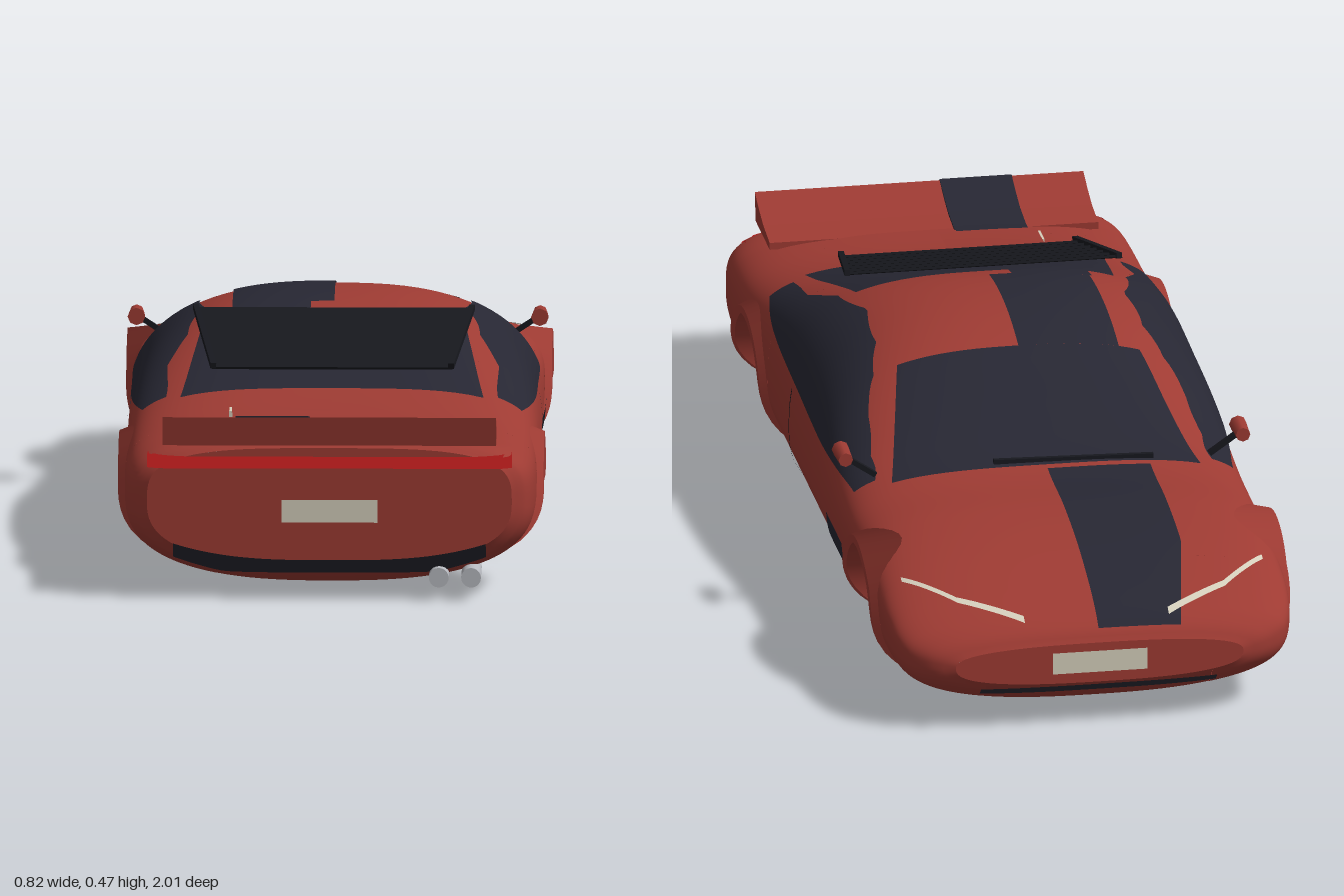
import * as THREE from 'three';

const V = (x, y, z) => new THREE.Vector3(x, y, z);
const material = (name, color) => new THREE.MeshStandardMaterial({ name, color, side: THREE.DoubleSide });
const lerp = THREE.MathUtils.lerp;

// Body stations: z, half width, bottom, widest height, top, upper roundness
const ST = [
  [-1, .28, .09, .135, .17, 2.6], [-.985, .325, .07, .14, .192, 2.7], [-.95, .37, .045, .15, .215, 2.9],
  [-.88, .39, .024, .17, .243, 3.2], [-.75, .395, .014, .185, .277, 3.5], [-.6, .395, .009, .19, .297, 3.5],
  [-.45, .395, .005, .19, .302, 3.3], [-.35, .395, .003, .19, .322, 3], [-.25, .395, .002, .19, .365, 2.8],
  [-.12, .395, .002, .19, .427, 2.7], [0, .395, .002, .19, .458, 2.6], [.13, .395, .002, .19, .465, 2.6],
  [.25, .395, .002, .19, .45, 2.8], [.4, .395, .003, .19, .405, 3.2], [.55, .395, .006, .19, .36, 3.4],
  [.7, .395, .01, .19, .328, 3.5], [.85, .394, .018, .19, .315, 3.6], [.93, .388, .03, .19, .312, 3.6],
  [.965, .375, .045, .19, .305, 3.5], [.985, .35, .065, .19, .295, 3.4],
];
const Z0 = -1, Z1 = .985, LOW = 2.6, FLOOR = .22, WHEELS = [-.63, .605], HUB = .08, CUT = .178;

// Smooth interpolation of the stations
function station(z) {
  let i = 0;
  while (i < ST.length - 2 && z > ST[i + 1][0]) i++;
  const a = ST[i], b = ST[i + 1], p = ST[Math.max(i - 1, 0)], q = ST[Math.min(i + 2, ST.length - 1)];
  const d = b[0] - a[0], t = (z - a[0]) / d, t2 = t * t, t3 = t2 * t;
  const val = k => {
    const ma = (b[k] - p[k]) / (b[0] - p[0]) * d, mb = (q[k] - a[k]) / (q[0] - a[0]) * d;
    return (2 * t3 - 3 * t2 + 1) * a[k] + (t3 - 2 * t2 + t) * ma + (3 * t2 - 2 * t3) * b[k] + (t3 - t2) * mb;
  };
  return { w: val(1), yb: val(2), ym: val(3), yt: val(4), n: val(5) };
}
function half(s, upper) { return upper ? [s.yt - s.ym, s.n] : [s.ym - s.yb, LOW]; }
function skin(z, a, side) {
  const s = station(z), [h, n] = half(s, a >= 0);
  const x = s.w * Math.max(Math.cos(a), 0) ** (2 / n), y = s.ym + Math.sign(a) * h * Math.abs(Math.sin(a)) ** (2 / n);
  return V(side * x, y, z);
}
function angleOfY(z, y) {
  const s = station(z), [h, n] = half(s, y >= s.ym);
  return Math.sign(y - s.ym) * Math.asin(Math.min(1, Math.abs(y - s.ym) / h) ** (n / 2));
}
const angleOfFloor = z => -Math.acos(Math.min(1, FLOOR / station(z).w) ** (LOW / 2));
const xAt = (z, y) => skin(z, angleOfY(z, y), 1).x;
function yAt(z, x) {
  const s = station(z);
  return s.ym + (s.yt - s.ym) * Math.max(0, 1 - (Math.abs(x) / s.w) ** s.n) ** (1 / s.n);
}
function field(x, y, z) {
  const s = station(z), [h, n] = half(s, y >= s.ym);
  return (Math.abs(x) / s.w) ** n + (Math.abs(y - s.ym) / h) ** n;
}
function zAt(x, y, end) {
  if (field(x, y, end) <= 1) return end;
  let a = end * .8, b = end;
  for (let i = 0; i < 24; i++) { const m = (a + b) / 2; if (field(x, y, m) <= 1) a = m; else b = m; }
  return a;
}
function bodyNormal(p) {
  const e = .0008, g = (dx, dy, dz) => field(p.x + dx, p.y + dy, p.z + dz) - field(p.x - dx, p.y - dy, p.z - dz);
  const zc = THREE.MathUtils.clamp(p.z, Z0 + e, Z1 - e);
  const dz = field(p.x, p.y, zc + e) - field(p.x, p.y, zc - e);
  return V(g(e, 0, 0), g(0, e, 0), dz).normalize();
}

// Sheet of quads from f(u, v), wound to agree with its normals
function sheet(f, nu, nv, normal = bodyNormal, lift = 0) {
  const pos = [], nor = [], idx = [], P = [], N = [];
  for (let i = 0; i <= nu; i++) for (let j = 0; j <= nv; j++) {
    const p = f(i / nu, j / nv), n = normal(p);
    p.addScaledVector(n, lift);
    P.push(p); N.push(n); pos.push(p.x, p.y, p.z); nor.push(n.x, n.y, n.z);
  }
  const tri = (a, b, c) => {
    const n = P[b].clone().sub(P[a]).cross(P[c].clone().sub(P[a]));
    const m = N[a].clone().add(N[b]).add(N[c]);
    if (n.dot(m) >= 0) idx.push(a, b, c); else idx.push(a, c, b);
  };
  for (let i = 0; i < nu; i++) for (let j = 0; j < nv; j++) {
    const a = i * (nv + 1) + j, b = a + nv + 1;
    tri(a, b, b + 1); tri(a, b + 1, a + 1);
  }
  const g = new THREE.BufferGeometry();
  g.setAttribute('position', new THREE.Float32BufferAttribute(pos, 3));
  g.setAttribute('normal', new THREE.Float32BufferAttribute(nor, 3));
  g.setIndex(idx);
  return g;
}

export function createModel() {
  const car = new THREE.Group();
  car.name = 'sportsCar';
  const red = material('bodyRed', 0x9e3b33), navy = material('darkNavy', 0x272733), black = material('trimBlack', 0x17181e);
  const lamp = material('tailLampRed', 0xe02424), cream = material('plateCream', 0xd6d0bd), silver = material('exhaustSilver', 0xb8bac0);
  const add = (name, geo, mat) => { const m = new THREE.Mesh(geo, mat); m.name = name; car.add(m); return m; };
  const bar = (name, a, b, t, mat) => {
    const m = add(name, new THREE.BoxGeometry(t, t, a.distanceTo(b)), mat);
    m.position.copy(a).add(b).multiplyScalar(.5);
    m.lookAt(b);
  };
  const topPatch = (name, mat, z0, z1, lo, hi, lift = .004) => add(name, sheet((u, v) => {
    const z = lerp(z0, z1, u), x = lerp(lo(u), hi(u), v);
    return V(x, yAt(z, x), z);
  }, 28, 22, bodyNormal, lift), mat);
  const sidePatch = (name, mat, side, z0, z1, lo, hi, nz = 4) => add(name, sheet((u, v) => {
    const z = lerp(z0, z1, u), y = lerp(lo(z), hi(z), v);
    return V(side * xAt(z, y), y, z);
  }, nz, 12, bodyNormal, .004), mat);
  const endBand = (name, mat, end, w, lo, hi) => add(name, sheet((u, v) => {
    const x = lerp(-w, w, u), y = lerp(lo(x), hi(x), v);
    return V(x, y, zAt(x, y, end));
  }, 32, 4, () => V(0, 0, Math.sign(end)), .005), mat);

  // Body shell, open at the wheel arches
  const [f, r] = WHEELS;
  const spans = [[Z0, f - CUT], [f - CUT, f + CUT, f], [f + CUT, r - CUT], [r - CUT, r + CUT, r], [r + CUT, Z1]];
  for (const side of [-1, 1]) {
    for (const [a, b, hub] of spans) add('bodySide', sheet((u, v) => {
      const z = hub === undefined ? lerp(a, b, u) : hub - CUT * Math.cos(Math.PI * u);
      const start = hub === undefined ? angleOfFloor(z) : angleOfY(z, HUB + Math.sqrt(Math.max(0, CUT ** 2 - (z - hub) ** 2)));
      return skin(z, lerp(start, Math.PI / 2, v), side);
    }, 28, 44), red);
    add('floor', sheet((u, v) => { const z = lerp(Z0, Z1, u); return skin(z, lerp(-Math.PI / 2, angleOfFloor(z), v), side); }, 60, 8), red);
    for (const z of [Z0, Z1]) add('endCap', sheet((u, v) => {
      const p = skin(z, lerp(-Math.PI / 2, Math.PI / 2, v), side), ym = station(z).ym;
      return V(p.x * u, lerp(ym, p.y, u), z);
    }, 1, 44, () => V(0, 0, Math.sign(z))), red);

    // Arch flares: outer edge on the body, raised rim, inner lip
    for (const hub of WHEELS) {
      const profile = [[.195, 0], [.186, .013], [.172, .014], [.17, .008], [.17, -.04]];
      for (let k = 0; k < 4; k++) add('archFlare', sheet((u, v) => {
        const [ra, oa] = profile[k], [rb, ob] = profile[k + 1];
        const rad = lerp(ra, rb, v), t = lerp(-.42, Math.PI + .42, u), z = hub + rad * Math.cos(t);
        const y = Math.max(HUB + rad * Math.sin(t), station(z).yb + .004);
        const base = lerp(k === 0 ? xAt(z, y) : xAt(z, Math.min(y, .21)), xAt(z, Math.min(y, .21)), v);
        return V(side * (base + lerp(oa, ob, v)), y, z);
      }, 36, 1, p => {
        const out = V(0, p.y - HUB, p.z - hub).normalize();
        return k === 3 ? out.negate() : V(side, 0, 0).addScaledVector(out, k === 0 ? .8 : 0).normalize();
      }), red);
    }

    // Side glass, door seam and side vent
    const roofLine = [[-.38, .285], [-.3, .305], [-.2, .345], [-.1, .392], [0, .42], [.15, .43], [.3, .402], [.42, .36], [.58, .325]];
    const glassTop = z => {
      let i = 0;
      while (i < roofLine.length - 2 && z > roofLine[i + 1][0]) i++;
      const [a, b] = [roofLine[i], roofLine[i + 1]];
      return lerp(a[1], b[1], (z - a[0]) / (b[0] - a[0]));
    };
    sidePatch('sideWindow', navy, side, -.38, .58, z => lerp(.264, .3, (z + .38) / .96), glassTop, 48);
    sidePatch('doorSeam', black, side, .168, .173, () => .065, () => .27);
    sidePatch('sideVent', navy, side, -.41, -.24, () => .125, () => .175);

    // Mirror
    const mirror = add('mirror', new THREE.CylinderGeometry(.017, .014, .06, 8), red);
    mirror.rotation.x = Math.PI / 2;
    mirror.position.set(side * .387, .338, -.36);
    bar('mirrorArm', V(side * .325, .295, -.365), V(side * .385, .335, -.362), .01, black);

    // Slim headlight lines
    const line = [[.14, -.96], [.26, -.895], [.35, -.8]].map(([x, z]) => [side * x, z]);
    for (let k = 0; k < 2; k++) add('headlight', sheet((u, v) => {
      const x = lerp(line[k][0], line[k + 1][0], u), z = lerp(line[k][1], line[k + 1][1], u) + (v - .5) * .015;
      return V(x, yAt(z, x), z);
    }, 10, 1, bodyNormal, .005), cream);
  }

  // Windscreen, rear window and stripes
  topPatch('windscreen', navy, -.41, -.1, u => -lerp(.3, .235, u), u => lerp(.3, .235, u));
  topPatch('rearWindow', navy, .27, .605, u => -lerp(.25, .29, u), u => lerp(.25, .29, u));
  topPatch('hoodStripe', navy, -.985, -.425, u => -lerp(.16, .2, Math.min(1, u * 2.5)), () => 0);
  topPatch('roofStripe', navy, -.1, .225, () => -.195, () => 0);
  topPatch('roofStripeEnd', navy, .225, .27, () => -.2, () => -.045);
  topPatch('deckStripe', navy, .78, .86, () => -.18, () => -.04);
  bar('wiper', V(-.21, yAt(-.4, .2) + .008, -.4), V(.1, yAt(-.395, .1) + .008, -.395), .009, black);

  // Raised engine scoop
  add('engineScoop', sheet((u, v) => {
    const z = lerp(.605, .78, u), x = lerp(-.19, 0, v);
    return V(x, yAt(z, x) + lerp(.004, .014, u), z);
  }, 6, 6), red);
  const tab = add('scoopEdge', new THREE.BoxGeometry(.006, .012, .045), cream);
  tab.position.set(-.192, yAt(.74, .19) + .005, .74);

  // Rear window louvres
  const slatCount = 7, rail = t => V(lerp(.265, .228, t), lerp(.457, .387, t), lerp(.285, .565, t));
  for (const side of [-1, 1]) bar('louvreRail', rail(0).multiply(V(side, 1, 1)), rail(1).multiply(V(side, 1, 1)), .011, black);
  for (let i = 0; i < slatCount; i++) {
    const p = rail((i + .5) / slatCount), slat = add('louvreSlat', new THREE.BoxGeometry(2 * p.x, .005, .032), black);
    slat.position.set(0, p.y - .004, p.z);
    slat.rotation.x = .42;
  }

  // Tail spoiler with its stripe
  const extrudeX = (pts, x0, x1) => new THREE.ExtrudeGeometry(new THREE.Shape(pts.map(([z, y]) => new THREE.Vector2(-z, y))),
    { depth: x1 - x0, bevelEnabled: false }).rotateY(Math.PI / 2).translate(x0, 0, 0);
  add('spoiler', extrudeX([[.83, .3], [.83, .314], [.9, .323], [.95, .338], [.995, .356], [.985, .3]], -.32, .32), red);
  add('spoilerStripe', extrudeX([[.83, .314], [.83, .318], [.9, .327], [.95, .342], [.994, .359], [.994, .355], [.95, .338], [.9, .323]], -.18, -.04), navy);

  // Tail lamp, plates and bumper grilles
  endBand('tailLamp', lamp, Z1, .35, () => .256, () => .279);
  endBand('rearPlate', cream, Z1, .092, () => .151, () => .195);
  endBand('rearGrille', black, Z1, .3, x => .052 + .45 * Math.max(0, Math.abs(x) - .2) ** 1.2, x => .078 + .032 * (Math.abs(x) / .3) ** 3);
  endBand('frontPlate', cream, Z0, .092, () => .112, () => .155);
  endBand('frontGrille', black, Z0, .23, () => .072, () => .086);

  // Twin exhaust
  for (const x of [.21, .272]) {
    const pipe = add('exhaust', new THREE.CylinderGeometry(.019, .019, .14, 20), silver);
    pipe.rotation.x = Math.PI / 2;
    pipe.position.set(x, .046, .93);
  }
  return car;
}
